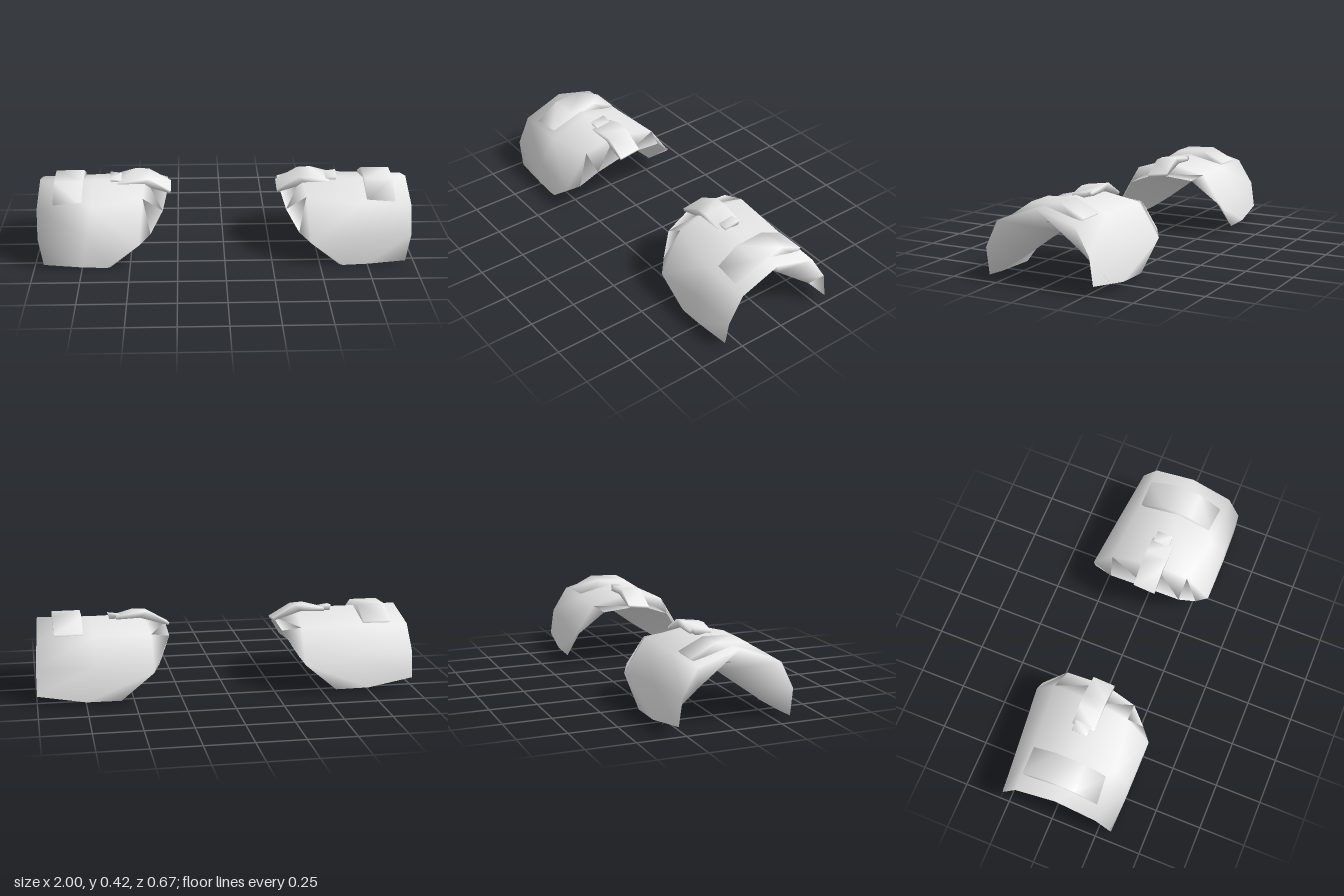
import * as THREE from 'three';
import { mergeVertices } from 'three/addons/utils/BufferGeometryUtils.js';

// Shell cross-sections, each from the front hem over the crest to the back hem:
// outer rim, middle, shoulder of the neck side, neck rim, outer end of the underside.
const SECTIONS = [
  [[0.95, 0.02, 0.32], [0.975, 0.165, 0.32], [0.98, 0.305, 0.25], [0.98, 0.388, 0.03], [0.99, 0.325, -0.19], [1, 0.19, -0.27], [1, 0.05, -0.29]],
  [[0.75, 0.005, 0.325], [0.72, 0.165, 0.324], [0.7, 0.312, 0.25], [0.7, 0.382, 0.03], [0.7, 0.33, -0.2], [0.7, 0.19, -0.3], [0.75, 0.015, -0.318]],
  [[0.62, 0, 0.325], [0.45, 0.13, 0.335], [0.43, 0.34, 0.205], [0.42, 0.385, 0.02], [0.4, 0.335, -0.22], [0.4, 0.16, -0.335], [0.57, 0.015, -0.322]],
  [[0.6, 0.005, 0.323], [0.39, 0.17, 0.28], [0.325, 0.27, 0.2], [0.298, 0.335, 0.03], [0.302, 0.315, -0.19], [0.37, 0.2, -0.31], [0.57, 0.015, -0.322]],
  [[0.84, 0.01, 0.324], [0.835, 0.09, 0.2], [0.83, 0.17, 0.09], [0.83, 0.25, -0.02], [0.83, 0.17, -0.12], [0.84, 0.09, -0.22], [0.85, 0.012, -0.32]],
];

// Welds the corners and gives smooth normals
function smooth(geo) {
  geo.deleteAttribute('normal');
  geo.deleteAttribute('uv');
  const welded = mergeVertices(geo);
  welded.computeVertexNormals();
  return welded;
}

// Closed pad: the last section flares back out to the outer rim
function shellGeometry() {
  const cols = SECTIONS[0].length;
  const index = [];
  for (let r = 0; r < SECTIONS.length; r++) {
    const next = (r + 1) % SECTIONS.length;
    for (let c = 0; c < cols - 1; c++) {
      const a = r * cols + c, b = next * cols + c;
      index.push(a, a + 1, b, a + 1, b + 1, b);
    }
  }
  const geo = new THREE.BufferGeometry();
  geo.setAttribute('position', new THREE.Float32BufferAttribute(SECTIONS.flat(2), 3));
  geo.setIndex(index);
  return smooth(geo);
}

function extrude(points, depth) {
  const shape = new THREE.Shape(points.map(p => new THREE.Vector2(...p)));
  return new THREE.ExtrudeGeometry(shape, { depth, bevelEnabled: false });
}

// Band across the outer part of the crest
function bandGeometry() {
  const geo = extrude([[0.226, 0.316], [0.1, 0.4], [-0.06, 0.407], [-0.188, 0.345], [-0.16, 0.315], [0, 0.305], [0.19, 0.31]], 0.15);
  geo.rotateY(-Math.PI / 2); // profile x becomes z, depth runs along -x
  geo.translate(0.9, 0, 0);
  return smooth(geo);
}

// Strap running toward the neck, tilted so its back edge sits higher
function strapGeometry(points, z0, z1) {
  const geo = extrude(points, z1 - z0);
  geo.translate(0, 0, z0);
  const p = geo.attributes.position;
  for (let i = 0; i < p.count; i++) p.setY(i, p.getY(i) - 0.14 * p.getZ(i));
  return smooth(geo);
}

// Bakes a left-right mirror, keeping faces outward
function mirrored(source) {
  const geo = source.clone().scale(-1, 1, 1);
  const ix = geo.index;
  for (let i = 0; i < ix.count; i += 3) {
    const t = ix.getX(i);
    ix.setX(i, ix.getX(i + 2));
    ix.setX(i + 2, t);
  }
  return geo;
}

export function createModel() {
  const model = new THREE.Group();
  model.name = 'shoulderPads';
  const grey = new THREE.MeshStandardMaterial({ color: 0xe7e7e7 });
  grey.name = 'light grey';

  const parts = {
    shell: shellGeometry(),
    outerBand: bandGeometry(),
    neckStrap: strapGeometry([[0.283, 0.342], [0.4, 0.41], [0.47, 0.414], [0.565, 0.388], [0.565, 0.37], [0.44, 0.375], [0.288, 0.328]], -0.048, 0.072),
    strapTip: strapGeometry([[0.54, 0.392], [0.607, 0.402], [0.6, 0.372], [0.54, 0.376]], -0.035, 0.05),
  };

  for (const side of ['left', 'right']) {
    const pad = new THREE.Group();
    pad.name = side + 'ShoulderPad';
    for (const [name, geo] of Object.entries(parts)) {
      const mesh = new THREE.Mesh(side === 'left' ? geo : mirrored(geo), grey);
      mesh.name = name;
      pad.add(mesh);
    }
    model.add(pad);
  }
  return model;
}
